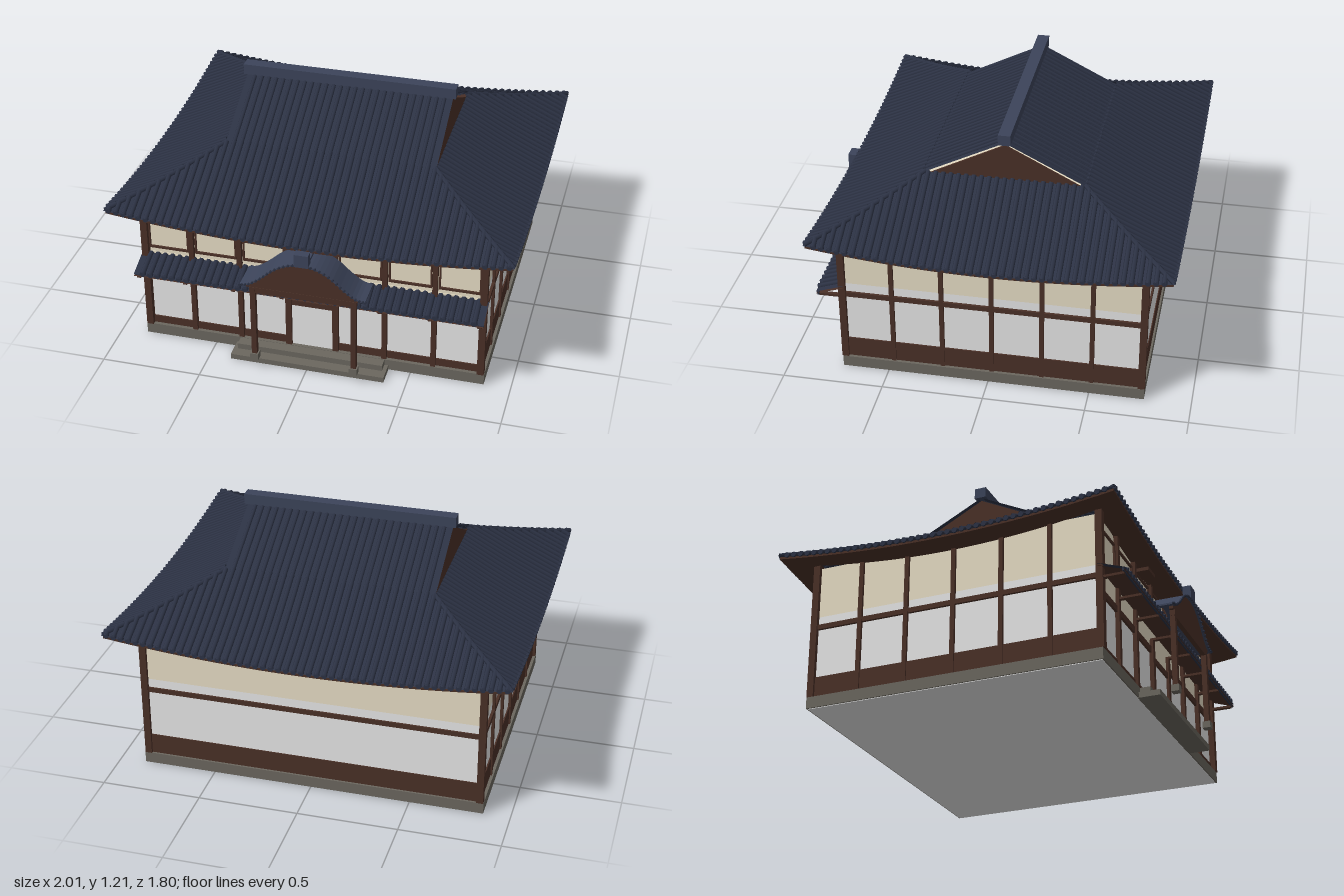
import * as THREE from 'three';
import { mergeGeometries } from 'three/addons/utils/BufferGeometryUtils.js';

export function createModel() {
  const root = new THREE.Group();
  root.name = 'templeHall';
  const mat = (name, color, side = THREE.FrontSide) => {
    const m = new THREE.MeshStandardMaterial({ color, side });
    m.name = name;
    return m;
  };
  const tile = mat('roofTile', 0x2c3244, THREE.DoubleSide);
  const ridgeTile = mat('ridgeTile', 0x3c445a, THREE.DoubleSide);
  const wood = mat('darkWood', 0x4a3027, THREE.DoubleSide);
  const plaster = mat('whitePlaster', 0xf0f0f0);
  const cream = mat('creamPlaster', 0xe8dec6);
  const paper = mat('doorPaper', 0xfafafa);
  const stone = mat('stone', 0x6b675f);

  const add = (name, geo, m, parent = root) => {
    const mesh = new THREE.Mesh(geo, m);
    mesh.name = name;
    parent.add(mesh);
    return mesh;
  };
  // Box given by its extents on each axis
  const box = (name, m, x0, x1, y0, y1, z0, z1) => {
    const mesh = add(name, new THREE.BoxGeometry(x1 - x0, y1 - y0, z1 - z0), m);
    mesh.position.set((x0 + x1) / 2, (y0 + y1) / 2, (z0 + z1) / 2);
    return mesh;
  };
  const post = (name, x, z, w, y0, y1) => box(name, wood, x - w / 2, x + w / 2, y0, y1, z - w / 2, z + w / 2);

  // ---------- Base, pale floor slab and steps ----------
  box('stoneBase', stone, -0.867, 0.867, 0.003, 0.06, -0.77, 0.73);
  box('floorSlab', plaster, -0.86, 0.86, 0, 0.004, -0.763, 0.723);
  box('lowerStep', stone, -0.39, 0.39, 0, 0.028, 0.724, 0.835);
  box('upperStep', stone, -0.37, 0.37, 0.028, 0.058, 0.72, 0.782);

  // ---------- Walls ----------
  box('lowerWall', plaster, -0.845, 0.845, 0.06, 0.485, -0.755, 0.705);
  box('upperWall', cream, -0.845, 0.845, 0.485, 0.75, -0.755, 0.705);
  box('frontCreamBand', cream, -0.845, 0.845, 0.375, 0.49, 0.705, 0.709);
  for (const x of [-1, 1]) {
    box('sideDado', wood, x * 0.848 - 0.004, x * 0.848 + 0.004, 0.06, 0.165, -0.755, 0.705);
    box('sideRail', wood, x * 0.85 - 0.008, x * 0.85 + 0.008, 0.415, 0.44, -0.755, 0.705);
    for (let i = 0; i <= 6; i++) {
      const corner = i === 0 || i === 6;
      post('sidePost', x * 0.848, -0.755 + i * 0.2455, corner ? 0.034 : 0.022, 0.06, 0.76);
    }
    // Front wall, mirrored about the door
    const span = (name, a, b, y0, y1, z) =>
      box(name, wood, Math.min(x * a, x * b), Math.max(x * a, x * b), y0, y1, 0.7, z);
    span('frontDado', 0.12, 0.845, 0.06, 0.1, 0.712);
    span('frontRail', 0.12, 0.845, 0.343, 0.375, 0.717);
    span('doorJamb', 0.104, 0.134, 0.06, 0.41, 0.726);
    for (const px of [0.365, 0.61]) post('frontPost', x * px, 0.714, 0.025, 0.06, 0.75);
    post('upperFrontPost', x * 0.12, 0.714, 0.025, 0.48, 0.75);
  }
  box('backDado', wood, -0.845, 0.845, 0.06, 0.165, -0.76, -0.75);
  box('backRail', wood, -0.845, 0.845, 0.415, 0.44, -0.764, -0.75);

  // ---------- Door ----------
  box('doorPanel', paper, -0.105, 0.105, 0.06, 0.3, 0.705, 0.712);
  box('doorLintel', wood, -0.11, 0.11, 0.3, 0.328, 0.7, 0.722);
  box('doorTransom', cream, -0.105, 0.105, 0.328, 0.41, 0.705, 0.712);

  // ---------- Upper window frames ----------
  const bays = [-0.848, -0.61, -0.365, -0.12, 0.12, 0.365, 0.61, 0.848];
  for (let i = 0; i < 7; i++) {
    const a = bays[i] + 0.017, b = bays[i + 1] - 0.017;
    for (const y of [0.515, 0.685]) box('windowRail', wood, a, b, y, y + 0.011, 0.7, 0.715);
    for (const x of [a, b - 0.008]) box('windowStile', wood, x, x + 0.008, 0.515, 0.696, 0.7, 0.715);
  }

  // ---------- Roof helpers ----------
  // A slope seen from outside: s runs -1..1 along the eave, t runs 0..1 up to the top
  const slope = (p, drop = 0) => {
    const g = new THREE.PlaneGeometry(1, 1, 24, 6);
    const pos = g.attributes.position;
    for (let i = 0; i < pos.count; i++) {
      const s = pos.getX(i) * 2, t = pos.getY(i) + 0.5;
      pos.setXYZ(i, s * THREE.MathUtils.lerp(p.a0, p.a1, t), p.y(s, t) - drop, THREE.MathUtils.lerp(p.o0, p.o1, t));
    }
    g.computeVertexNormals();
    return g;
  };
  // Rows of round tiles running up the slope and stopping at the hips
  const ribs = (p, pitch, r) => {
    const parts = [];
    const n = Math.floor((p.a0 - r) / pitch);
    for (let i = -n; i <= n; i++) {
      const x = i * pitch;
      const top = Math.abs(x) > p.a1 ? (p.a0 - Math.abs(x)) / (p.a0 - p.a1) : 1;
      if (top < 0.03) continue;
      const pts = [];
      for (let k = 0; k <= 4; k++) {
        const t = (top * k) / 4;
        const s = x / THREE.MathUtils.lerp(p.a0, p.a1, t);
        pts.push(new THREE.Vector3(x, p.y(s, t) + 0.003, THREE.MathUtils.lerp(p.o0, p.o1, t)));
      }
      parts.push(new THREE.TubeGeometry(new THREE.CatmullRomCurve3(pts), 5, r, 6));
      const cap = new THREE.CylinderGeometry(r * 1.15, r * 1.15, 0.014, 8).rotateX(Math.PI / 2);
      parts.push(cap.translate(x, pts[0].y, pts[0].z - 0.007));
    }
    return mergeGeometries(parts);
  };

  // ---------- Main hipped roof with upswept corners ----------
  const zc = -0.025;
  const roofY = (s, t) => THREE.MathUtils.lerp(0.722 + 0.06 * s * s, 0.966, t) - 0.01 * Math.sin(Math.PI * t);
  const long = { a0: 1, a1: 0.53, o0: 0.875, o1: 0.395, y: roofY };
  const short = { a0: 0.875, a1: 0.395, o0: 1, o1: 0.53, y: roofY };
  for (let k = 0; k < 4; k++) {
    const p = k % 2 ? short : long;
    const side = new THREE.Group();
    side.name = ['frontRoof', 'leftRoof', 'backRoof', 'rightRoof'][k];
    side.rotation.y = (k * Math.PI) / 2;
    side.position.z = zc;
    root.add(side);
    add('roofSlope', slope(p), tile, side);
    add('tileRows', ribs(p, 0.0375, 0.012), tile, side);
    // Flat soffit and eave board
    const edge = { a0: p.a0 - 0.008, a1: p.a0 - 0.008, o0: p.o0 - 0.008, o1: p.o0 - 0.008 };
    const soffit = { ...edge, a1: p.a0 - 0.16, o1: p.o0 - 0.16, y: (s, t) => roofY(s, 0) - 0.018 + 0.008 * t };
    add('soffit', slope(soffit), wood, side);
    add('eaveBoard', slope({ ...edge, y: (s, t) => roofY(s, 0) - 0.018 + 0.012 * t }), wood, side);
    // Hip tiles at this slope's left end
    const hip = [0, 0.25, 0.5, 0.75, 1].map((t) => new THREE.Vector3(
      THREE.MathUtils.lerp(p.a0, p.a1, t) - 0.006, roofY(1, t) + 0.003, THREE.MathUtils.lerp(p.o0, p.o1, t) - 0.006));
    add('hipTiles', new THREE.TubeGeometry(new THREE.CatmullRomCurve3(hip), 8, 0.012, 6), tile, side);
  }

  // ---------- Upper gabled roof ----------
  const upper = { a0: 0.53, a1: 0.53, o0: 0.395, o1: 0, y: (s, t) => 0.964 + 0.198 * t };
  for (const turn of [0, Math.PI]) {
    const side = new THREE.Group();
    side.name = turn ? 'backGableRoof' : 'frontGableRoof';
    side.rotation.y = turn;
    side.position.z = zc;
    root.add(side);
    add('roofSlope', slope(upper), tile, side);
    add('tileRows', ribs(upper, 0.0375, 0.01), tile, side);
  }
  const gable = new THREE.Shape([[-0.375, 0.955], [0.375, 0.955], [0, 1.147]].map((v) => new THREE.Vector2(...v)));
  for (const x of [-0.526, 0.516]) {
    const g = new THREE.ExtrudeGeometry(gable, { depth: 0.01, bevelEnabled: false }).rotateY(Math.PI / 2);
    add('gableWall', g, wood).position.set(x, 0, zc);
  }
  box('ridgeCap', ridgeTile, -0.545, 0.545, 1.156, 1.21, zc - 0.03, zc + 0.03);

  // ---------- Skirt roof across the front ----------
  const skirt = { a0: 0.87, a1: 0.87, o0: 0.845, o1: 0.71, y: (s, t) => 0.434 + 0.047 * t };
  add('skirtRoof', slope(skirt), tile);
  add('skirtTileRows', ribs(skirt, 0.0375, 0.013), tile);
  add('skirtUnderside', slope(skirt, 0.012), wood);
  box('skirtEaveBoard', tile, -0.87, 0.87, 0.418, 0.434, 0.83, 0.838);
  for (const x of bays) box('skirtBracket', wood, x - 0.01, x + 0.01, 0.408, 0.42, 0.71, 0.835);

  // ---------- Porch ----------
  for (const x of [-0.25, 0.25]) {
    post('porchPost', x, 0.87, 0.026, 0.09, 0.485);
    box('porchPostBase', stone, x - 0.02, x + 0.02, 0.06, 0.094, 0.85, 0.89);
    box('porchRoofBracket', wood, x * 1.12 - 0.05, x * 1.12 + 0.05, 0.69, 0.708, 0.705, 0.78);
  }
  box('porchBeam', wood, -0.265, 0.265, 0.455, 0.487, 0.858, 0.882);

  // Bell-curved porch roof
  const half = [[0, 0.66], [0.07, 0.65], [0.14, 0.613], [0.2, 0.56], [0.26, 0.516], [0.31, 0.503]];
  const full = [...half.slice(1).reverse().map(([x, y]) => [-x, y]), ...half];
  const arch = new THREE.SplineCurve(full.map((v) => new THREE.Vector2(...v))).getPoints(32);
  const lower = arch.map((v) => new THREE.Vector2(v.x, v.y - 0.009));
  const shell = new THREE.ExtrudeGeometry(new THREE.Shape([...lower, ...arch.slice().reverse()]), { depth: 0.157, bevelEnabled: false });
  add('porchRoof', shell, ridgeTile).position.z = 0.735;
  const face = lower.filter((v) => Math.abs(v.x) < 0.285);
  const first = face[0], last = face[face.length - 1];
  const faceShape = new THREE.Shape([new THREE.Vector2(first.x, 0.485), new THREE.Vector2(last.x, 0.485), ...face.slice().reverse()]);
  add('porchGable', new THREE.ExtrudeGeometry(faceShape, { depth: 0.02, bevelEnabled: false }), wood).position.z = 0.86;
  const dots = arch.map((v) =>
    new THREE.CylinderGeometry(0.006, 0.006, 0.01, 8).rotateX(Math.PI / 2).translate(v.x, v.y - 0.004, 0.892));
  add('porchTileEnds', mergeGeometries(dots), tile);
  box('porchRidge', ridgeTile, -0.035, 0.035, 0.652, 0.72, 0.858, 0.9);
  box('porchRidgeTail', ridgeTile, -0.03, 0.03, 0.652, 0.672, 0.735, 0.86);

  return root;
}
